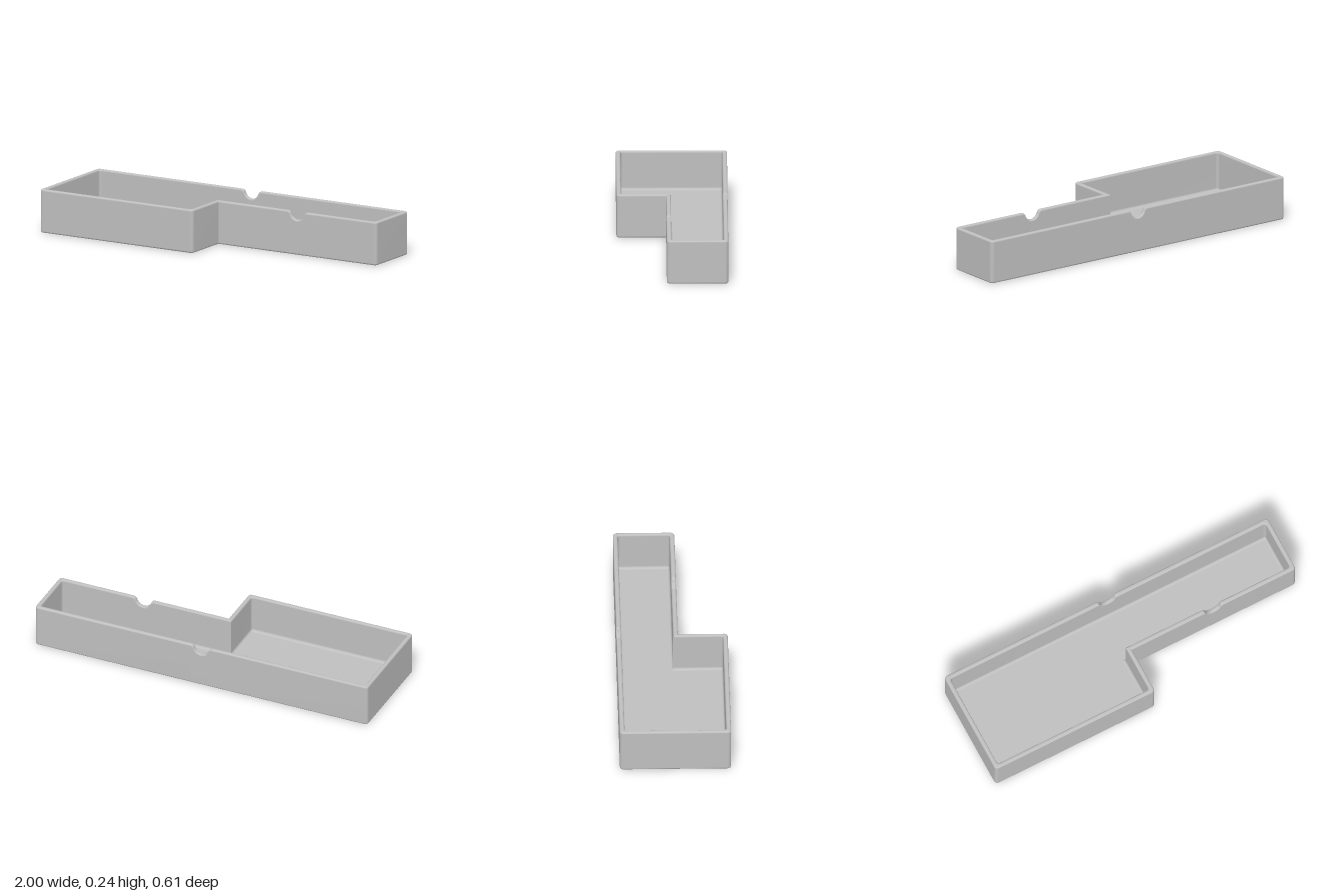
import * as THREE from 'three';

const H = 0.243, WALL = 0.026, FLOOR = 0.025; // overall height, wall and floor thickness
const EDGE = 0.01, FILLET = 0.015;            // edge rounding, inner floor fillet
const R_OUT = 0.02, R_IN = 0.015;             // vertical corner radii outside and inside
const STEPS = 5;

// Wall section: inset from the outline, height, corner radius, and whether it belongs to the rim
function wallProfile() {
  const pts = [];
  const arc = (cd, cy, r, from, to, inside, rim) => {
    for (let i = 0; i <= STEPS; i++) {
      const a = THREE.MathUtils.degToRad(from + ((to - from) * i) / STEPS);
      const d = cd + r * Math.cos(a);
      const radius = inside ? R_IN + WALL - d : R_OUT - d;
      pts.push({ d, y: cy + r * Math.sin(a), r: Math.max(radius, 0), rim });
    }
  };
  arc(EDGE, EDGE, EDGE, 270, 180, false, false);
  arc(EDGE, H - EDGE, EDGE, 180, 90, false, true);
  arc(WALL - EDGE, H - EDGE, EDGE, 90, 0, true, true);
  arc(WALL + FILLET, FLOOR + FILLET, FILLET, 180, 270, true, false);
  return pts;
}

// Finger notch: round bottom flowing into rounded shoulders, as [dx, drop] pairs
function notchCurve() {
  const bend = 1.27, r1 = 0.048, r2 = 0.02, n = 8, half = [];
  const sum = r1 + r2, width = sum * Math.sin(bend), depth = sum * (1 - Math.cos(bend));
  for (let i = 0; i <= n; i++) {
    const a = (bend * i) / n;
    half.push([r1 * Math.sin(a), depth - r1 * (1 - Math.cos(a))]);
  }
  for (let i = n - 1; i >= 0; i--) {
    const a = (bend * i) / n;
    half.push([width - r2 * Math.sin(a), r2 * (1 - Math.cos(a))]);
  }
  return [...half.slice(1).reverse().map(([x, y]) => [-x, y]), ...half];
}

// Stations around the L-shaped outline, counter-clockwise from above
function outlineStations() {
  const stations = [];
  const corner = (x, z, sx, sz, from) => {
    for (let i = 0; i <= STEPS; i++) {
      const a = THREE.MathUtils.degToRad(from - (90 * i) / STEPS);
      stations.push((p) => [
        x - sx * (p.d + p.r) + p.r * Math.cos(a), p.y,
        z - sz * (p.d + p.r) + p.r * Math.sin(a),
      ]);
    }
  };
  const notch = (cx, z, dir) => {
    for (const [dx, drop] of notchCurve()) {
      stations.push((p) => [cx + dir * dx, p.rim ? p.y - drop : p.y, z - dir * p.d]);
    }
  };
  const Z = 0.305, stepX = -0.014, stepZ = 0.032;
  corner(-1, Z, -1, 1, 180);
  corner(stepX, Z, 1, 1, 90);
  // Sharp inner corner of the L, doubled so that its edge stays crisp
  for (let i = 0; i < 2; i++) stations.push((p) => [stepX - p.d, p.y, stepZ - p.d]);
  notch(0.49, stepZ, 1);
  corner(1, stepZ, 1, 1, 90);
  corner(1, -Z, 1, -1, 0);
  notch(0, -Z, -1);
  corner(-1, -Z, -1, -1, -90);
  return stations;
}

function trayGeometry() {
  const profile = wallProfile(), stations = outlineStations();
  const n = stations.length, positions = [], index = [];
  for (const p of profile) for (const s of stations) positions.push(...s(p));
  // Walls and rim
  for (let j = 0; j < profile.length - 1; j++) {
    for (let i = 0; i < n; i++) {
      const k = (i + 1) % n;
      const a = j * n + i, b = j * n + k, c = b + n, d = a + n;
      index.push(a, b, c, a, c, d);
    }
  }
  // Underside and floor
  const cap = (row, up) => {
    const ring = stations.map((s) => {
      const [x, , z] = s(profile[row]);
      return new THREE.Vector2(x, -z);
    });
    for (const [a, b, c] of THREE.ShapeUtils.triangulateShape(ring, [])) {
      const o = row * n;
      if (up) index.push(o + a, o + b, o + c);
      else index.push(o + a, o + c, o + b);
    }
  };
  cap(0, false);
  cap(profile.length - 1, true);

  const geometry = new THREE.BufferGeometry();
  geometry.setAttribute('position', new THREE.Float32BufferAttribute(positions, 3));
  geometry.setIndex(index);
  geometry.computeVertexNormals();
  return geometry;
}

export function createModel() {
  const grey = new THREE.MeshStandardMaterial({ color: 0xbfbfbf });
  grey.name = 'light grey';
  const tray = new THREE.Mesh(trayGeometry(), grey);
  tray.name = 'tray';
  const model = new THREE.Group();
  model.name = 'notchedTray';
  model.add(tray);
  return model;
}
